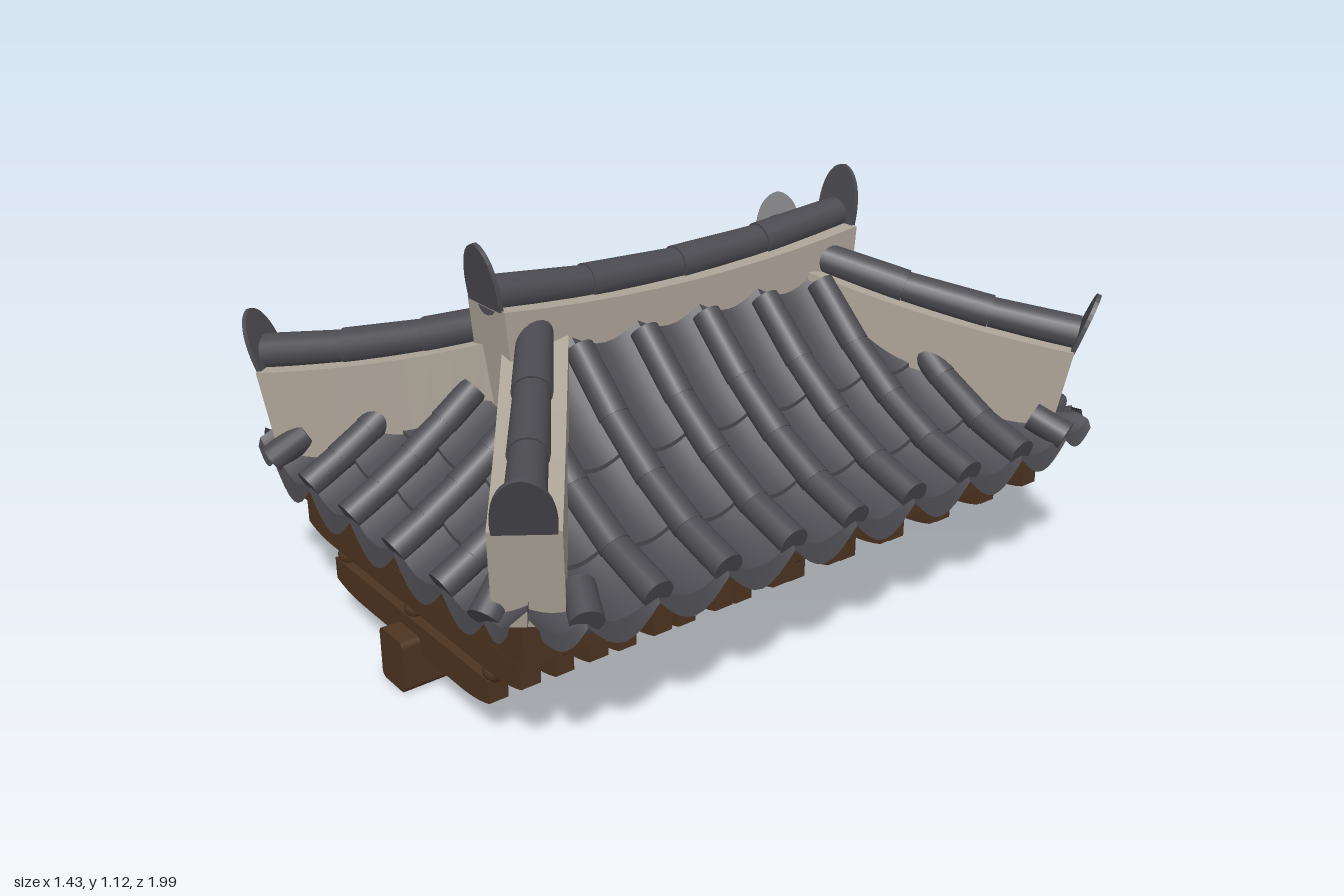
import * as THREE from 'three';

const mat = (name, color, side = THREE.FrontSide) => {
  const m = new THREE.MeshStandardMaterial({ color, side });
  m.name = name;
  return m;
};

export function createModel() {
  const tile = mat('slate tile', 0x4b4a50, THREE.DoubleSide);
  const plaster = mat('plaster', 0xaea598);
  const wood = mat('dark wood', 0x4d3420);
  const model = new THREE.Group();

  const add = (parent, name, geo, material, x = 0, y = 0, z = 0) => {
    const m = new THREE.Mesh(geo, material);
    m.name = name;
    m.position.set(x, y, z);
    parent.add(m);
    return m;
  };
  const group = (name) => {
    const g = new THREE.Group();
    g.name = name;
    model.add(g);
    return g;
  };
  // Tapered cylinder between two points
  const rod = (parent, name, a, b, ra, rb) => {
    const d = b.clone().sub(a);
    const m = add(parent, name, new THREE.CylinderGeometry(rb, ra, d.length(), 18), tile);
    m.position.copy(a).addScaledVector(d, 0.5);
    m.quaternion.setFromUnitVectors(new THREE.Vector3(0, 1, 0), d.normalize());
  };

  // ---- Timber frame ----
  const frame = group('timberFrame');
  const section = new THREE.Shape();
  const hw = 0.059, h = 0.148, r = 0.018;
  section.absarc(hw - r, r, r, -Math.PI / 2, 0);
  section.absarc(hw - r, h - r, r, 0, Math.PI / 2);
  section.absarc(-hw + r, h - r, r, Math.PI / 2, Math.PI);
  section.absarc(-hw + r, r, r, Math.PI, Math.PI * 1.5);
  const bottomGeo = new THREE.ExtrudeGeometry(section, { depth: 1.835, bevelEnabled: false, curveSegments: 4 });
  add(frame, 'bottomBeam', bottomGeo, wood, -0.003, 0, -0.905);
  add(frame, 'topPlate', new THREE.BoxGeometry(1.12, 0.11, 1.77), wood, -0.01, 0.355, -0.006);

  // Cross beam whose underside curves up at both ends
  const beamGeometry = (half, y0, y1) => {
    const s = new THREE.Shape();
    s.moveTo(-half, y1);
    s.lineTo(-half, y0 + 0.021);
    s.quadraticCurveTo(-half + 0.06, y0, -half + 0.14, y0);
    s.lineTo(half - 0.14, y0);
    s.quadraticCurveTo(half - 0.06, y0, half, y0 + 0.021);
    s.lineTo(half, y1);
    return new THREE.ExtrudeGeometry(s, { depth: 0.055, bevelEnabled: false, curveSegments: 5 })
      .translate(-0.009, 0, -0.0275);
  };
  const lowerBeam = beamGeometry(0.392, 0.1, 0.184);
  const upperBeam = beamGeometry(0.54, 0.215, 0.297);
  const knob = new THREE.SphereGeometry(0.03, 14, 10);
  for (let i = 0; i < 10; i++) {
    const z = 0.85 - i * 0.192;
    add(frame, 'lowerCrossBeam', lowerBeam, wood, 0, 0, z);
    add(frame, 'upperCrossBeam', upperBeam, wood, 0, 0, z);
    for (const x of [-0.372, -0.01, 0.37]) add(frame, 'knob', knob, wood, x, 0.2, z);
  }

  // ---- Tiled slopes ----
  // Hip line in plan, as z from x and as x from z
  const hipZ = (x) => 0.91 - 0.72 * (0.625 - Math.abs(x));
  const hipX = (z) => 0.625 - (0.91 - Math.abs(z)) / 0.72;
  const endSlope = {
    eave: 0.96, run: 0.37, rise: 0.245, line: 0.8, rows: 3, half: 0.63, tMax: 1.05, hip: hipZ,
    rolls: [-0.535, -0.325, -0.1, 0.126, 0.35, 0.535],
  };
  const longSlope = {
    eave: 0.685, run: 0.59, rise: 0.37, line: 0.35, rows: 3, half: 0.92, tMax: 1.06, hip: hipX,
    rolls: [-0.815, ...[-3, -2, -1, 0, 1, 2, 3].map((k) => -0.016 + 0.206 * k), 0.8],
  };
  const slopes = [
    ['frontSlope', endSlope, (u, y, o) => new THREE.Vector3(u, y, o)],
    ['backSlope', endSlope, (u, y, o) => new THREE.Vector3(u, y, -o)],
    ['leftSlope', longSlope, (u, y, o) => new THREE.Vector3(o, y, u)],
    ['rightSlope', longSlope, (u, y, o) => new THREE.Vector3(-o, y, u)],
  ];
  // Flat grid whose vertices are moved by rule(across, along)
  const sheet = (nx, ny, rule) => {
    const g = new THREE.PlaneGeometry(1, 1, nx, ny);
    const p = g.attributes.position;
    for (let i = 0; i < p.count; i++) {
      const v = rule(p.getX(i) + 0.5, p.getY(i) + 0.5);
      p.setXYZ(i, v.x, v.y, v.z);
    }
    g.computeVertexNormals();
    return g;
  };

  for (const [name, s, place] of slopes) {
    const g = group(name);
    const limit = (u) => THREE.MathUtils.clamp((s.eave - s.hip(u)) / s.run, 0, s.tMax);
    const height = (u, t) =>
      0.45 + s.rise * t * (s.line + (1 - s.line) * t) + 0.02 * Math.pow(Math.abs(u) / s.half, 6);
    const at = (u, t, dy = 0) => place(u, height(u, t) + dy, s.eave - s.run * t);

    // Hollow pan tiles in overlapping rows, each with a downturned front edge
    const edges = [-s.half, ...s.rolls, s.half];
    for (let c = 0; c < edges.length - 1; c++) {
      const u0 = edges[c], w = edges[c + 1] - u0;
      const sag = (a) => -0.18 * w * Math.sin(Math.PI * a);
      const reach = Math.max(limit(u0), limit(u0 + w), limit(u0 + w / 2));
      for (let k = 0; k < s.rows; k++) {
        const t0 = Math.max(0, k / s.rows - 0.03), t1 = (k + 1) / s.rows * s.tMax;
        if (t0 >= reach) continue;
        const tileAt = (a, b, drop) => {
          const u = u0 + w * a;
          const t = Math.min(t0 + (t1 - t0) * b, limit(u));
          return at(u, t, sag(a) + 0.014 * (1 - b) - drop);
        };
        add(g, 'panTile', sheet(8, 5, (a, b) => tileAt(a, b, 0)), tile);
        if (k > 0) add(g, 'panEdge', sheet(8, 1, (a, b) => tileAt(a, 0, 0.026 * (1 - b))), tile);
      }
      add(g, 'eaveLip', sheet(8, 1, (a, b) => {
        const v = at(u0 + w * a, -0.02 * (1 - b), sag(a) + 0.014);
        v.y -= (1 - b) * (0.02 + 0.16 * Math.min(w, 0.21) * Math.sin(Math.PI * a));
        return v;
      }), tile);
    }

    // Round cover tiles over the joints; the outermost pair splays outwards
    s.rolls.forEach((u, i) => {
      const corner = i === 0 || i === s.rolls.length - 1;
      const start = -0.008 / s.run;
      const end = corner ? start + 0.09 / s.run : Math.min(limit(u), 1);
      const n = corner ? 1 : Math.max(2, Math.round(end * 4));
      const point = (k) => {
        const f = k / n;
        return at(corner ? u - Math.sign(u) * 0.04 * f : u, start + (end - start) * f, corner ? 0.005 + 0.02 * f : 0.012);
      };
      for (let k = 0; k < n; k++) rod(g, 'coverTile', point(k), point(k + 1), 0.041, 0.039);
    });
  }

  // ---- Ridge and hips ----
  // Upright wall along local x with a curved top and slanting outer ends
  const wall = (x0, x1, width, bottom, top, slant0, slant1) => {
    const g = new THREE.BoxGeometry(1, 1, width, 10, 1, 1);
    const p = g.attributes.position;
    for (let i = 0; i < p.count; i++) {
      const f = p.getX(i) + 0.5, low = p.getY(i) < 0;
      const shift = low ? slant0 * (1 - f) - slant1 * f : 0;
      p.setXY(i, x0 + (x1 - x0) * f + shift, low ? bottom : top(f));
    }
    g.computeVertexNormals();
    return g;
  };
  // Leaf-shaped end plate facing local +x
  const leaf = new THREE.Shape();
  leaf.moveTo(-0.072, 0);
  leaf.bezierCurveTo(-0.08, 0.07, -0.062, 0.155, 0, 0.165);
  leaf.bezierCurveTo(0.062, 0.155, 0.08, 0.07, 0.072, 0);
  const leafGeo = new THREE.ExtrudeGeometry(leaf, { depth: 0.012, bevelEnabled: false, curveSegments: 10 })
    .rotateY(Math.PI / 2);
  const cap = (parent, x, y, lean, flip = 1) => {
    const pivot = new THREE.Group();
    pivot.name = 'endCap';
    pivot.position.set(x, y, 0);
    pivot.rotation.y = flip < 0 ? Math.PI : 0;
    add(pivot, 'leafPlate', leafGeo, tile).rotation.z = -lean;
    parent.add(pivot);
  };
  const rollAlong = (parent, n, x0, x1, top) => {
    const pt = (f) => new THREE.Vector3(x0 + (x1 - x0) * f, top(f) + 0.022, 0);
    for (let k = 0; k < n; k++) rod(parent, 'ridgeTile', pt(k / n), pt((k + 1) / n), 0.046, 0.051);
  };

  const ridge = group('mainRidge');
  ridge.position.x = -0.02;
  ridge.rotation.y = -Math.PI / 2;
  const ridgeTop = (f) => 0.922 + 0.038 * Math.pow(2 * f - 1, 2);
  add(ridge, 'ridgeWall', wall(-0.592, 0.592, 0.172, 0.62, ridgeTop, 0.03, 0.03), plaster);
  rollAlong(ridge, 4, -0.588, 0.588, ridgeTop);
  cap(ridge, 0.585, 0.958, 0.15);
  cap(ridge, -0.585, 0.958, 0.15, -1);

  const hipTop = (f) => 0.86 - 0.24 * f + 0.075 * f * f;
  for (const sx of [-1, 1]) {
    for (const sz of [-1, 1]) {
      const hip = group('hipRidge');
      const x = -0.02 + 0.04 * sx, z = 0.475 * sz;
      const dx = 0.625 * sx - x, dz = 0.91 * sz - z, len = Math.hypot(dx, dz);
      hip.position.set(x, 0, z);
      hip.rotation.y = Math.atan2(-dz, dx);
      add(hip, 'hipWall', wall(0, len, 0.165, 0.43, hipTop, 0, 0.05), plaster);
      rollAlong(hip, 3, 0.02, len + 0.002, (f) => hipTop(0.03 + 0.95 * f) + 0.006);
      cap(hip, len - 0.012, 0.69, 0.35);
    }
  }
  return model;
}
